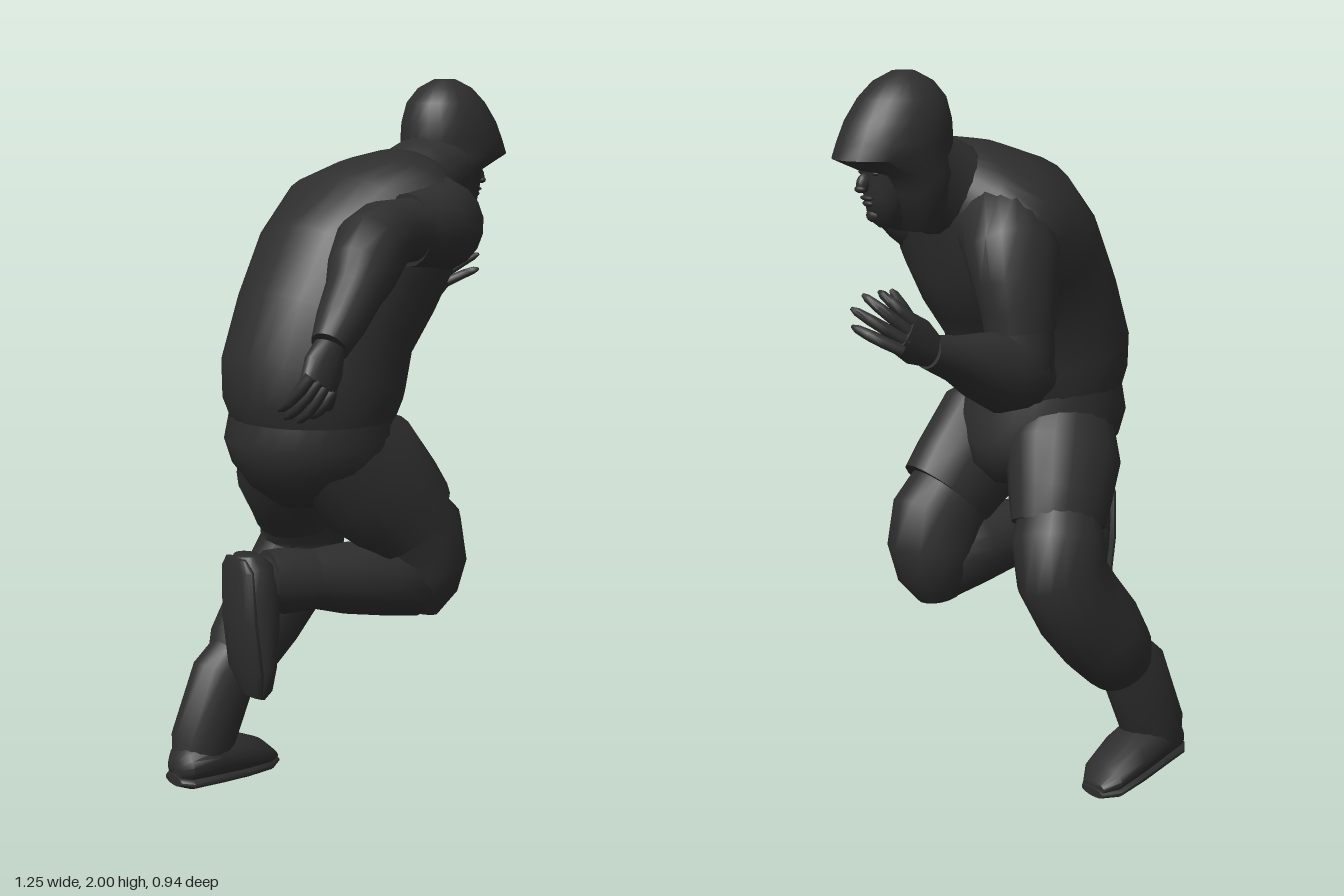
import * as THREE from 'three';
import { toCreasedNormals } from 'three/addons/utils/BufferGeometryUtils.js';

const cloth = new THREE.MeshStandardMaterial({ color: 0x2e2e2e });
cloth.name = 'charcoal';

const V = (a) => new THREE.Vector3(a[0], a[1], a[2]);

// Skins elliptical sections [x, y, z, halfDepth, halfWidth] along a path.
// side: direction of the width (first to last section), up: fixed axis, egg: narrowing to the front
function loft(sections, { side = [0, 0, 1], sideEnd = side, up = null, egg = 0, sides = 18 } = {}) {
  const pos = [], index = [], n = sections.length;
  sections.forEach((s, i) => {
    const t = up ? V(up) : V(sections[Math.min(i + 1, n - 1)]).sub(V(sections[Math.max(i - 1, 0)]));
    t.normalize();
    const v = V(side).lerp(V(sideEnd), i / (n - 1));
    v.addScaledVector(t, -v.dot(t)).normalize();
    const u = new THREE.Vector3().crossVectors(t, v);
    for (let j = 0; j < sides; j++) {
      const a = (j / sides) * Math.PI * 2;
      const p = V(s).addScaledVector(u, Math.cos(a) * s[3])
        .addScaledVector(v, Math.sin(a) * s[4] * (1 - egg * Math.cos(a)));
      pos.push(p.x, p.y, p.z);
    }
  });
  const first = n * sides, last = first + 1;
  pos.push(...sections[0].slice(0, 3), ...sections[n - 1].slice(0, 3));
  for (let j = 0; j < sides; j++) {
    const k = (j + 1) % sides;
    for (let i = 0; i < n - 1; i++) {
      const a = i * sides + j, b = a + sides, c = i * sides + k, d = c + sides;
      index.push(a, b, c, b, d, c);
    }
    index.push(first, j, k, last, (n - 1) * sides + k, (n - 1) * sides + j);
  }
  const g = new THREE.BufferGeometry();
  g.setAttribute('position', new THREE.Float32BufferAttribute(pos, 3));
  g.setIndex(index);
  return toCreasedNormals(g, 0.9);
}

export function createModel() {
  const model = new THREE.Group();
  model.name = 'runningFigure';
  const add = (name, geometry, parent = model) => {
    const m = new THREE.Mesh(geometry, cloth);
    m.name = name;
    parent.add(m);
    return m;
  };
  const blob = (name, p, r, tilt = 0) => {
    const m = add(name, new THREE.SphereGeometry(1, 12, 8));
    m.position.set(...p);
    m.scale.set(...r);
    m.rotation.z = tilt;
  };

  // Sweatshirt, leaning forward with the shoulders turned
  add('torso', loft([
    [-0.225, 1.11, -0.06, 0.22, 0.238], [-0.225, 1.16, -0.06, 0.243, 0.248],
    [-0.222, 1.22, -0.06, 0.252, 0.252], [-0.18, 1.35, -0.065, 0.245, 0.252],
    [-0.1, 1.48, -0.075, 0.255, 0.27], [-0.01, 1.595, -0.09, 0.232, 0.305],
    [0.065, 1.66, -0.1, 0.175, 0.29], [0.13, 1.71, -0.11, 0.125, 0.205], [0.175, 1.74, -0.115, 0.07, 0.1],
  ], { sideEnd: [-0.2, 0.06, 1], sides: 28 }));
  add('hoodCollar', loft([
    [0.11, 1.67, -0.11, 0.12, 0.15], [0.15, 1.695, -0.11, 0.13, 0.14],
    [0.21, 1.73, -0.12, 0.122, 0.122], [0.27, 1.77, -0.13, 0.105, 0.115],
  ]));

  // Hood with an overhanging brim
  add('hood', loft([
    [0.26, 1.6, -0.133, 0.05, 0.075], [0.268, 1.65, -0.135, 0.083, 0.1], [0.275, 1.7, -0.136, 0.103, 0.112],
    [0.28, 1.75, -0.138, 0.118, 0.118], [0.328, 1.79, -0.138, 0.165, 0.12],
    [0.318, 1.83, -0.138, 0.158, 0.121], [0.308, 1.88, -0.138, 0.144, 0.117],
    [0.296, 1.935, -0.138, 0.117, 0.1], [0.292, 1.975, -0.138, 0.08, 0.07], [0.29, 2, -0.138, 0.03, 0.028],
  ], { up: [0, 1, 0], egg: 0.06, sides: 24 }));

  // Face under the brim
  add('face', loft([
    [0.335, 1.612, -0.14, 0.03, 0.03], [0.348, 1.635, -0.14, 0.048, 0.045],
    [0.35, 1.69, -0.14, 0.055, 0.06], [0.35, 1.74, -0.14, 0.062, 0.068], [0.35, 1.785, -0.14, 0.07, 0.07],
  ], { up: [0, 1, 0], egg: 0.15 }));
  blob('nose', [0.415, 1.728, -0.14], [0.02, 0.026, 0.015], 0.4);
  blob('noseTip', [0.425, 1.714, -0.14], [0.014, 0.01, 0.018]);
  blob('upperLip', [0.406, 1.69, -0.14], [0.011, 0.007, 0.025]);
  blob('lowerLip', [0.402, 1.676, -0.14], [0.011, 0.008, 0.02]);
  blob('chin', [0.385, 1.645, -0.14], [0.018, 0.018, 0.024]);
  for (const s of [-1, 1]) {
    blob('brow', [0.405, 1.77, -0.14 + s * 0.028], [0.012, 0.009, 0.024]);
    blob('eye', [0.399, 1.753, -0.14 + s * 0.028], [0.009, 0.006, 0.014]);
  }

  // Right arm, swung back
  add('rightSleeve', loft([
    [0.05, 1.625, -0.02, 0.14, 0.14], [0.055, 1.625, 0.08, 0.138, 0.142], [0.04, 1.622, 0.145, 0.125, 0.125],
    [-0.01, 1.62, 0.178, 0.108, 0.1], [-0.06, 1.62, 0.19, 0.1, 0.088], [-0.1, 1.62, 0.197, 0.096, 0.086],
  ], { side: [1, 0, 0], sideEnd: [0.2, 0, 1] }));
  add('rightArm', loft([
    [-0.05, 1.62, 0.195, 0.085, 0.075], [-0.15, 1.622, 0.22, 0.082, 0.08], [-0.22, 1.615, 0.252, 0.092, 0.09],
    [-0.285, 1.59, 0.288, 0.1, 0.092], [-0.34, 1.535, 0.322, 0.092, 0.085], [-0.385, 1.49, 0.35, 0.073, 0.073],
    [-0.45, 1.425, 0.385, 0.064, 0.062], [-0.5, 1.375, 0.41, 0.05, 0.046],
  ]));
  // Left arm, bent forward
  add('leftSleeve', loft([
    [0.04, 1.61, -0.16, 0.13, 0.13], [0.065, 1.595, -0.26, 0.13, 0.12], [0.09, 1.545, -0.33, 0.13, 0.115],
    [0.1, 1.47, -0.358, 0.115, 0.1], [0.1, 1.4, -0.37, 0.1, 0.092], [0.1, 1.35, -0.376, 0.095, 0.088],
  ]));
  add('leftUpperArm', loft([
    [0.1, 1.4, -0.375, 0.085, 0.08], [0.1, 1.3, -0.382, 0.088, 0.082],
    [0.1, 1.23, -0.386, 0.082, 0.078], [0.1, 1.17, -0.388, 0.05, 0.05],
  ]));
  add('leftForearm', loft([
    [0.03, 1.22, -0.385, 0.045, 0.05], [0.08, 1.238, -0.386, 0.088, 0.078], [0.165, 1.255, -0.388, 0.106, 0.085],
    [0.25, 1.285, -0.398, 0.086, 0.076], [0.33, 1.315, -0.412, 0.06, 0.06], [0.43, 1.35, -0.43, 0.043, 0.042],
  ]));

  // Hands: flat palm, four curled fingers and a thumb
  function hand(name, wrist, knuckles, spread, bulge, tips, thumb) {
    const g = new THREE.Group();
    g.name = name;
    model.add(g);
    const mid = V(wrist).lerp(V(knuckles), 0.5).toArray();
    add('palm', loft([[...wrist, 0.042, 0.034], [...mid, 0.058, 0.032], [...knuckles, 0.054, 0.025]]), g);
    const finger = (part, base, tip, r) => {
      const at = (f, out) => base.clone().lerp(tip, f).addScaledVector(V(bulge), out).toArray();
      add(part, loft([[...at(-0.15, 0), r, r], [...at(0.3, 0.8), r, r], [...at(0.65, 0.9), r * 0.9, r * 0.9],
        [...at(0.9, 0.4), r * 0.7, r * 0.7], [...at(1, 0), r * 0.3, r * 0.3]], { sides: 8 }), g);
    };
    tips.forEach((tip, i) =>
      finger('finger', V(knuckles).addScaledVector(V(spread), (i - 1.5) * 0.026), V(tip), 0.0155));
    finger('thumb', V(thumb[0]), V(thumb[1]), 0.017);
  }
  hand('rightHand', [-0.5, 1.375, 0.41], [-0.557, 1.285, 0.44], [0.85, -0.5, 0], [-0.008, 0, 0.022],
    [[-0.615, 1.225, 0.36], [-0.605, 1.205, 0.37], [-0.575, 1.195, 0.38], [-0.545, 1.205, 0.39]],
    [[-0.505, 1.32, 0.41], [-0.485, 1.215, 0.38]]);
  hand('leftHand', [0.42, 1.35, -0.428], [0.515, 1.41, -0.444], [-0.5, 0.85, 0], [0.008, 0, -0.018],
    [[0.61, 1.425, -0.37], [0.615, 1.47, -0.375], [0.585, 1.5, -0.38], [0.545, 1.505, -0.39]],
    [[0.455, 1.4, -0.42], [0.51, 1.505, -0.39]]);

  // Shorts
  add('pelvis', loft([
    [-0.225, 1.15, -0.07, 0.21, 0.23], [-0.225, 1.05, -0.07, 0.235, 0.238],
    [-0.21, 0.98, -0.075, 0.225, 0.225], [-0.19, 0.92, -0.08, 0.2, 0.18], [-0.18, 0.86, -0.085, 0.13, 0.07],
  ], { up: [0, -1, 0], sides: 24 }));
  add('rightThigh', loft([
    [-0.25, 1.06, 0.045, 0.12, 0.1], [-0.13, 0.96, 0.048, 0.185, 0.122],
    [-0.03, 0.86, 0.05, 0.162, 0.122], [0.02, 0.805, 0.05, 0.148, 0.12],
  ]));
  add('leftThigh', loft([
    [-0.24, 1.07, -0.17, 0.13, 0.11], [-0.18, 0.95, -0.222, 0.175, 0.142],
    [-0.12, 0.84, -0.28, 0.152, 0.127], [-0.1, 0.78, -0.3, 0.138, 0.117],
  ]));

  // Lower legs: padded knee, then calf
  add('rightKnee', loft([
    [0, 0.83, 0.045, 0.12, 0.105], [0.06, 0.755, 0.035, 0.142, 0.112], [0.085, 0.67, 0.03, 0.126, 0.12],
    [0.08, 0.6, 0.022, 0.108, 0.108], [0.065, 0.53, 0.02, 0.065, 0.065],
  ]));
  add('rightCalf', loft([
    [0.13, 0.615, 0.02, 0.05, 0.06], [0.06, 0.627, 0.02, 0.112, 0.108], [-0.06, 0.645, 0.02, 0.108, 0.104],
    [-0.17, 0.66, 0.02, 0.1, 0.092], [-0.28, 0.675, 0.016, 0.082, 0.077],
    [-0.38, 0.685, 0.014, 0.074, 0.068], [-0.46, 0.69, 0.01, 0.07, 0.06],
  ]));
  add('rightCuff', loft([
    [-0.3, 0.677, 0.016, 0.084, 0.078], [-0.38, 0.685, 0.014, 0.09, 0.078], [-0.43, 0.69, 0.01, 0.086, 0.072],
  ]));
  add('leftLowerLeg', loft([
    [-0.11, 0.82, -0.29, 0.115, 0.1], [-0.07, 0.75, -0.335, 0.132, 0.12], [-0.065, 0.66, -0.355, 0.128, 0.117],
    [-0.125, 0.56, -0.36, 0.132, 0.108], [-0.205, 0.465, -0.36, 0.13, 0.106],
    [-0.265, 0.39, -0.358, 0.114, 0.1], [-0.295, 0.345, -0.352, 0.095, 0.082],
  ]));
  add('leftAnkle', loft([
    [-0.3, 0.38, -0.35, 0.08, 0.07], [-0.34, 0.325, -0.35, 0.1, 0.08],
    [-0.42, 0.14, -0.345, 0.096, 0.084], [-0.435, 0.07, -0.345, 0.08, 0.07],
  ]));

  // Shoes: planted left, raised right
  add('leftShoe', loft([
    [-0.525, 0.085, -0.325, 0.03, 0.04], [-0.5, 0.09, -0.328, 0.052, 0.07], [-0.4, 0.095, -0.345, 0.076, 0.084],
    [-0.3, 0.075, -0.365, 0.06, 0.088], [-0.2, 0.05, -0.39, 0.038, 0.078], [-0.155, 0.033, -0.4, 0.015, 0.045],
  ], { up: [1, 0, 0] }));
  add('leftSole', loft([
    [-0.53, 0.052, -0.325, 0.015, 0.045], [-0.5, 0.048, -0.328, 0.022, 0.074], [-0.4, 0.042, -0.345, 0.024, 0.084],
    [-0.3, 0.034, -0.365, 0.024, 0.09], [-0.2, 0.022, -0.39, 0.022, 0.08], [-0.15, 0.018, -0.4, 0.012, 0.045],
  ], { up: [1, 0, 0] }));
  add('rightShoe', loft([
    [-0.49, 0.775, 0.01, 0.03, 0.04], [-0.48, 0.745, 0.01, 0.058, 0.068], [-0.472, 0.67, 0.012, 0.068, 0.078],
    [-0.472, 0.57, 0.015, 0.06, 0.08], [-0.468, 0.47, 0.015, 0.044, 0.077],
    [-0.465, 0.405, 0.015, 0.028, 0.06], [-0.466, 0.378, 0.015, 0.012, 0.035],
  ], { up: [0, -1, 0] }));
  add('rightSole', loft([
    [-0.522, 0.77, 0.01, 0.012, 0.045], [-0.518, 0.74, 0.01, 0.022, 0.07], [-0.515, 0.6, 0.013, 0.022, 0.08],
    [-0.5, 0.46, 0.015, 0.022, 0.08], [-0.48, 0.385, 0.015, 0.014, 0.045],
  ], { up: [0, -1, 0] }));

  return model;
}
